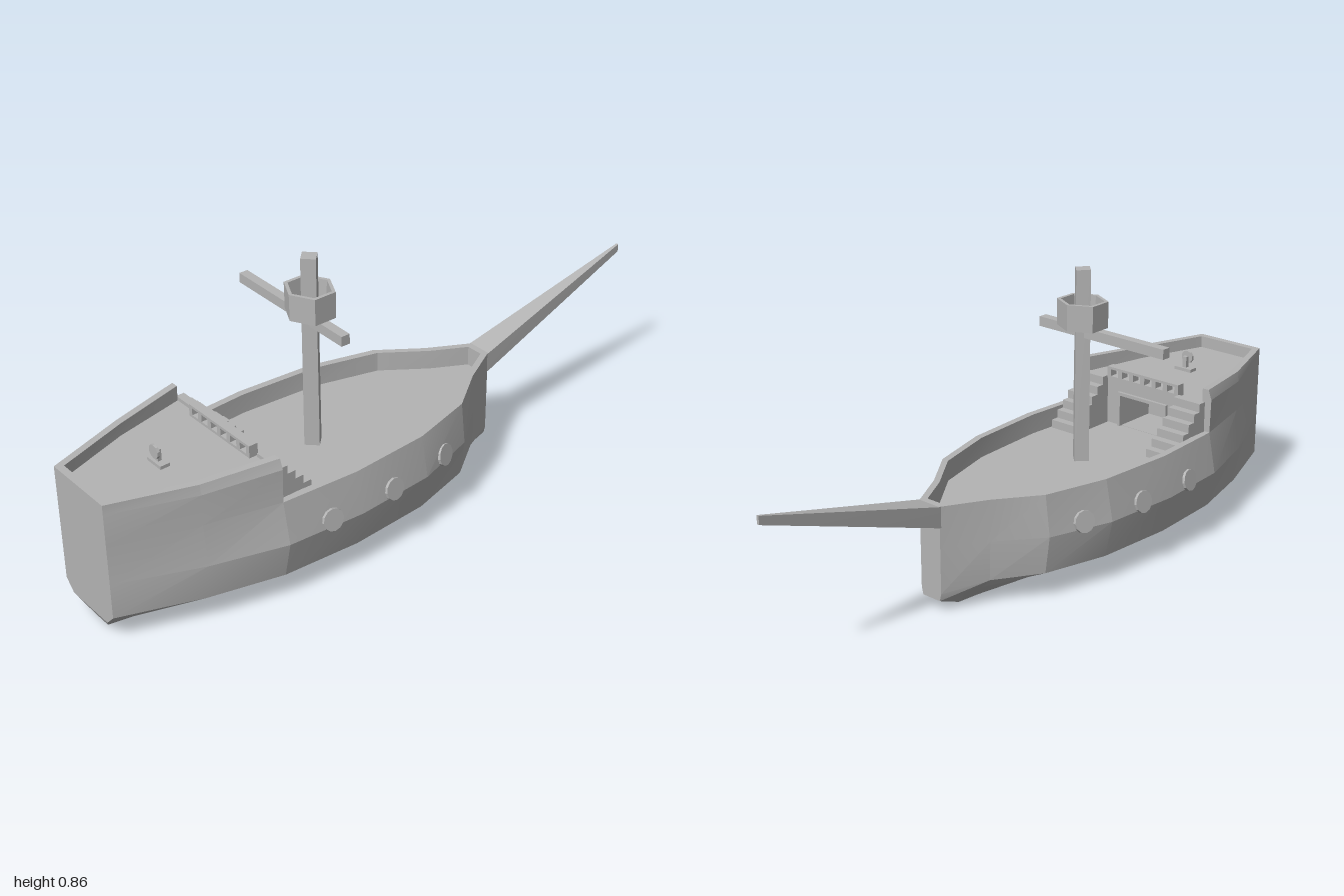
import * as THREE from 'three';
import { toCreasedNormals } from 'three/addons/utils/BufferGeometryUtils.js';

const grey = new THREE.MeshStandardMaterial({ color: 0xb4b4b4, side: THREE.DoubleSide });
grey.name = 'light grey';

function add(parent, name, geometry, x = 0, y = 0, z = 0) {
  const mesh = new THREE.Mesh(toCreasedNormals(geometry, 0.2), grey);
  mesh.name = name;
  mesh.position.set(x, y, z);
  parent.add(mesh);
  return mesh;
}
const box = (w, h, d) => new THREE.BoxGeometry(w, h, d);
const v = (x, y, z) => new THREE.Vector3(x, y, z);

// Skin closed sections running from high z to low z, with optional end caps
function loft(sections, capStart, capEnd, holes = []) {
  const out = [];
  const tri = (a, b, c) => [a, b, c].forEach(p => out.push(p.x, p.y, p.z));
  for (let s = 0; s < sections.length - 1; s++) {
    const A = sections[s], B = sections[s + 1];
    A.forEach((a, i) => {
      const j = (i + 1) % A.length;
      tri(a, B[i], B[j]);
      tri(a, B[j], A[j]);
    });
  }
  const cap = (section, flip, inner) => {
    const pts = [section, ...inner].flat();
    THREE.ShapeUtils.triangulateShape([...section], inner.map(h => [...h])).forEach(([a, b, c]) =>
      flip ? tri(pts[a], pts[c], pts[b]) : tri(pts[a], pts[b], pts[c]));
  };
  if (capStart) cap(sections[0], false, []);
  if (capEnd) cap(sections[sections.length - 1], true, holes);
  const g = new THREE.BufferGeometry();
  g.setAttribute('position', new THREE.Float32BufferAttribute(out, 3));
  g.computeVertexNormals();
  return g;
}

const rect = (hw, y0, y1, z) => [v(hw, y0, z), v(hw, y1, z), v(-hw, y1, z), v(-hw, y0, z)];

// Hull stations: z, half beam, roundness of the side, chine height, keel z, aft rail height
const stations = [
  [1.0, 0.115, 0, 0.09, 0.97, 0.45],
  [0.76, 0.215, 0.7, 0.088, 0.76, 0.45],
  [0.54, 0.28, 1, 0.086, 0.54, 0.46],
  [0.3, 0.296, 1, 0.085, 0.3],
  [0.05, 0.278, 1, 0.085, 0.05],
  [-0.15, 0.215, 0.8, 0.085, -0.14],
  [-0.28, 0.11, 0.4, 0.08, -0.25],
  [-0.405, 0.038, 0, 0.06, -0.32],
];

// Full section: outer side up to the rail, over it, down to the deck and mirrored
function hullSection([z, w, round, chineY, keelZ, railY], deckY, aft) {
  const f = k => w * (1 + (k - 1) * round);
  const keel = v(Math.min(0.03, w * 0.6), 0, keelZ), chine = v(f(0.91), chineY, z);
  const bilge = keel.clone().lerp(chine, 0.62).setZ(z);
  const side = [keel, bilge, chine, v(f(1), 0.2, z), v(f(0.91), 0.325, z)];
  let top = f(0.91), y = 0.325;
  if (aft) {
    top = f(0.88);
    y = railY;
    side.push(v(f(0.92), y - 0.03, z), v(top, y, z));
  }
  const inner = Math.max(top - 0.022, 0.012);
  side.push(v(inner, y, z), v(inner, deckY, z));
  return [...side, ...side.map(p => v(-p.x, p.y, p.z)).reverse()];
}

// Flat end face: the keel points move up to the bilge points beside them
function endFace(section) {
  const n = section.length;
  return section.map((p, i) => (i === 0 ? section[1] : i === n - 1 ? section[n - 2] : p));
}

export function createModel() {
  const model = new THREE.Group();
  model.name = 'sailingShip';
  const ship = new THREE.Group();
  ship.name = 'ship';
  ship.position.x = 0.007;
  model.add(ship);

  const deckY = 0.263, quarterY = 0.413, wallZ = 0.54;

  // Hull with main deck, and raised stern with a doorway in its front wall
  const fore = stations.slice(2).map(s => hullSection(s, deckY, false));
  add(ship, 'foreHull', loft([...fore, endFace(fore[fore.length - 1])], false, true));
  const aft = stations.slice(0, 3).map(s => hullSection(s, quarterY, true));
  const door = z => rect(0.085, deckY + 0.001, 0.365, z);
  add(ship, 'sternHull', loft([endFace(aft[0]), ...aft], true, true, [door(wallZ)]));
  add(ship, 'doorRecess', loft([door(0.68), door(wallZ)], true, false));
  add(ship, 'sternRail', box(0.21, 0.05, 0.022), 0, 0.425, 0.989);

  // Door frame
  for (const s of [-1, 1]) add(ship, 'doorPost', box(0.01, 0.105, 0.01), s * 0.09, 0.315, wallZ - 0.005);
  add(ship, 'doorLintel', box(0.19, 0.01, 0.01), 0, 0.37, wallZ - 0.005);

  // Bowsprit
  add(ship, 'bowsprit', loft([
    rect(0.04, 0.262, 0.325, -0.385),
    rect(0.04, 0.262, 0.325, -0.406),
    rect(0.004, 0.46, 0.485, -1),
  ], true, true));

  // Stairs on both sides of the door
  const steps = 6, tread = 0.026, rise = (0.42 - deckY) / steps;
  for (const s of [-1, 1]) {
    for (let i = 0; i < steps; i++) {
      const h = rise * (i + 1);
      add(ship, 'stairStep', box(0.098, h, tread), s * 0.188, deckY + h / 2, 0.393 + i * tread);
    }
  }

  // Balustrade with a row of square openings
  const rail = new THREE.Shape([[-0.138, 0], [0.138, 0], [0.138, 0.038], [-0.138, 0.038]].map(p => new THREE.Vector2(...p)));
  for (let i = 0; i < 6; i++) {
    const x = (i - 2.5) * 0.044;
    rail.holes.push(new THREE.Path([[-0.014, 0.008], [-0.014, 0.03], [0.014, 0.03], [0.014, 0.008]]
      .map(p => new THREE.Vector2(p[0] + x, p[1]))));
  }
  add(ship, 'balustrade', new THREE.ExtrudeGeometry(rail, { depth: 0.028, bevelEnabled: false }), 0, quarterY, 0.532);

  // Steering wheel on its stand
  add(ship, 'wheelBase', box(0.062, 0.01, 0.03), 0, quarterY + 0.005, 0.755);
  add(ship, 'wheelPost', box(0.014, 0.04, 0.012), 0, quarterY + 0.025, 0.755);
  add(ship, 'steeringWheel', new THREE.CylinderGeometry(0.021, 0.021, 0.008, 10), 0, 0.454, 0.765).rotation.x = Math.PI / 2;

  // Mast and yard
  const mastZ = 0.24;
  add(ship, 'mast', new THREE.CylinderGeometry(0.03, 0.031, 0.855 - deckY, 4), 0, (0.855 + deckY) / 2, mastZ);
  add(ship, 'yard', box(0.47, 0.03, 0.028), -0.077, 0.665, mastZ).rotation.y = -0.02;

  // Crow's nest: an open hexagonal cup
  const cup = [[0.001, 0.69], [0.062, 0.69], [0.067, 0.76], [0.079, 0.76], [0.078, 0.68], [0.001, 0.68]];
  const nest = add(ship, 'lookoutBasket', new THREE.LatheGeometry(cup.map(p => new THREE.Vector2(...p)).reverse(), 6), 0, 0, mastZ);
  nest.scale.z = 0.9;

  // Portholes: x, z, turn with the hull curve
  for (const [x, z, yaw] of [[0.284, 0.4, -0.07], [0.282, 0.18, 0.08], [0.246, -0.04, 0.29]]) {
    for (const s of [-1, 1]) {
      const disc = add(ship, 'porthole', new THREE.CylinderGeometry(0.033, 0.034, 0.018, 12), s * x, 0.222, z);
      disc.rotation.set(0, s * yaw, s * (0.2 - Math.PI / 2));
    }
  }
  return model;
}
